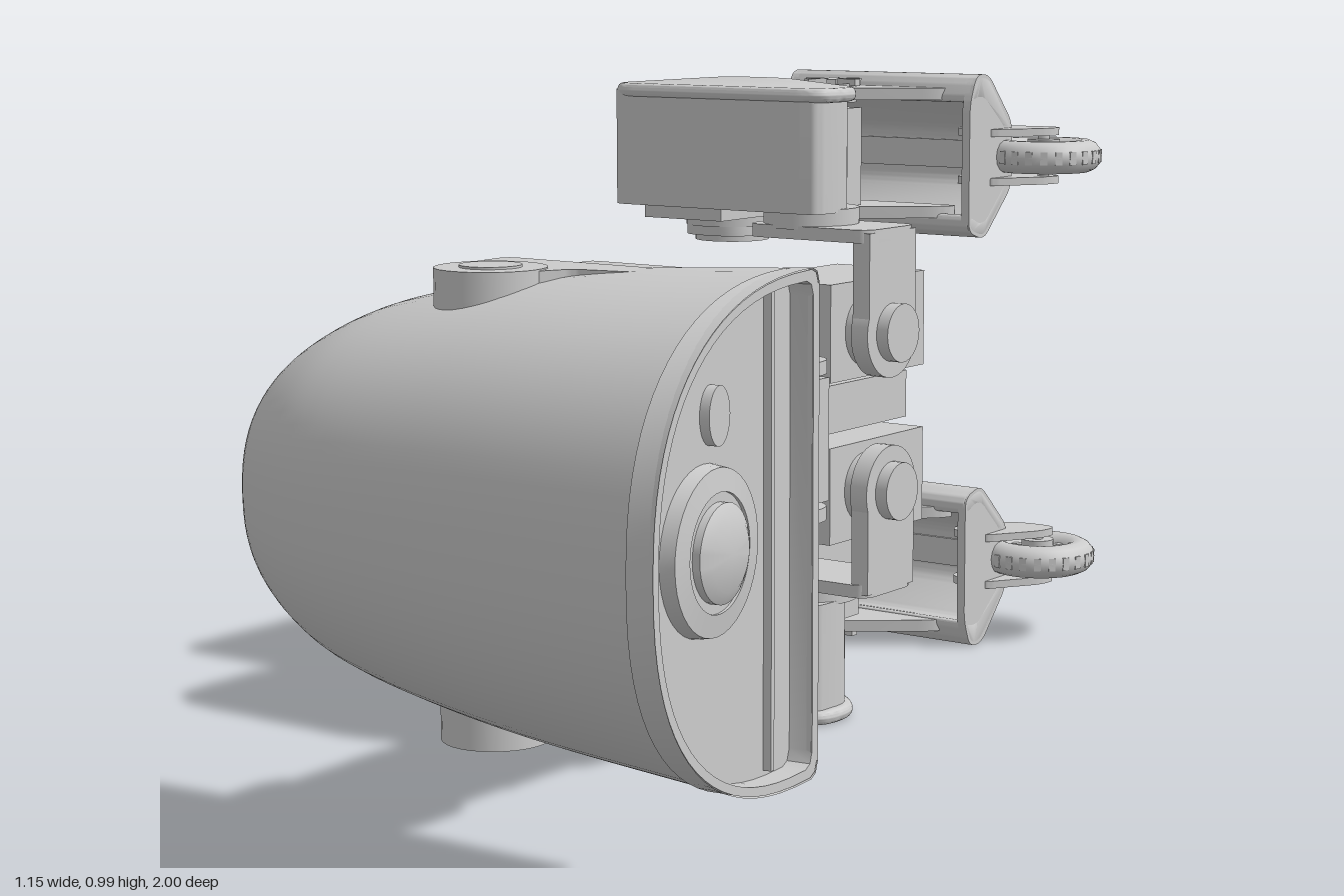
import * as THREE from 'three';
import { RoundedBoxGeometry } from 'three/addons/geometries/RoundedBoxGeometry.js';
import { toCreasedNormals } from 'three/addons/utils/BufferGeometryUtils.js';

const grey = new THREE.MeshStandardMaterial({ color: 0xcccccc, side: THREE.DoubleSide });
const MID = 0.4925; // height of the mirror plane

function add(parent, name, geometry, x = 0, y = 0, z = 0) {
  const m = new THREE.Mesh(geometry, grey);
  m.name = name;
  m.position.set(x, y, z);
  parent.add(m);
  return m;
}

// Box given by its limits, with optional rounded edges
function box(parent, name, x0, x1, y0, y1, z0, z1, r = 0) {
  const w = x1 - x0, h = y1 - y0, d = z1 - z0;
  const g = r ? new RoundedBoxGeometry(w, h, d, 5, r) : new THREE.BoxGeometry(w, h, d);
  return add(parent, name, g, (x0 + x1) / 2, (y0 + y1) / 2, (z0 + z1) / 2);
}

// Upright disc between two heights
function disc(parent, name, r, x, y0, y1, z, sides = 32) {
  return add(parent, name, new THREE.CylinderGeometry(r, r, y1 - y0, sides), x, (y0 + y1) / 2, z);
}

// Disc with its axis along x
function sideDisc(parent, name, r, x0, x1, y, z) {
  const g = new THREE.CylinderGeometry(r, r, x1 - x0, 32).rotateZ(Math.PI / 2);
  return add(parent, name, g, (x0 + x1) / 2, y, z);
}

// Polygon with rounded corners
function roundPoly(points, r) {
  const p = points.map(([a, b]) => new THREE.Vector2(a, b));
  const shape = new THREE.Shape();
  p.forEach((c, i) => {
    const cut = q => c.clone().add(q.clone().sub(c).setLength(Math.min(r, q.distanceTo(c) * 0.45)));
    const a = cut(p[(i + p.length - 1) % p.length]), b = cut(p[(i + 1) % p.length]);
    if (i) shape.lineTo(a.x, a.y); else shape.moveTo(a.x, a.y);
    shape.quadraticCurveTo(c.x, c.y, b.x, b.y);
  });
  shape.closePath();
  return shape;
}

function extrude(shape, depth, bevel = 0) {
  const g = new THREE.ExtrudeGeometry(shape, {
    depth: depth - 2 * bevel, bevelEnabled: bevel > 0, bevelSize: bevel, bevelThickness: bevel,
    bevelOffset: -bevel, bevelSegments: 4, curveSegments: 8 });
  return toCreasedNormals(g.translate(0, 0, bevel), 0.6);
}

// Horizontal plate from [x, z] corners between two heights
function plate(parent, name, points, y0, y1, r = 0.02, bevel = 0) {
  const g = extrude(roundPoly(points.map(([x, z]) => [x, -z]), r), y1 - y0, bevel);
  return add(parent, name, g.rotateX(-Math.PI / 2), 0, y0, 0);
}

const rect = (x0, x1, z0, z1) => [[x0, z0], [x1, z0], [x1, z1], [x0, z1]];

// D-shaped half section: [height offset, depth] from top to bottom
function dArc(h, d, n = 40) {
  const pts = [];
  for (let i = 0; i <= n; i++) {
    const a = Math.PI * i / n, c = Math.cos(a), e = 2 / 2.4;
    pts.push([h * Math.sign(c) * Math.abs(c) ** e, 0.018 + (d - 0.018) * Math.sin(a) ** e]);
  }
  const k = Math.max(h - 0.02, 0);
  return [[k, 0], [h - 0.005, 0.006], ...pts, [-h + 0.005, 0.006], [-k, 0]];
}

function makeHead() {
  const head = new THREE.Group();
  head.name = 'head';
  const Z = 0.59;
  // Stations hold x, half height and depth
  const stations = new THREE.CatmullRomCurve3([
    [-0.283, 0.025, 0.05], [-0.274, 0.098, 0.135], [-0.25, 0.143, 0.205], [-0.2, 0.19, 0.265], [-0.1, 0.239, 0.324],
    [0, 0.265, 0.353], [0.2, 0.296, 0.378], [0.52, 0.318, 0.402]].map(p => new THREE.Vector3(...p)), false, 'centripetal').getPoints(48);
  const pos = [], idx = [];
  const cols = dArc(1, 1).length;
  stations.forEach((s, i) => {
    const lean = Math.max(s.x, 0) / 0.52 * 0.125;
    dArc(s.y, s.z).forEach(([y, z], j) => {
      pos.push(s.x + z * lean, MID + y, Z + z);
      const a = i * cols + j;
      if (i < stations.length - 1 && j < cols - 1) idx.push(a, a + 1, a + cols, a + cols, a + 1, a + cols + 1);
    });
  });
  const shell = new THREE.BufferGeometry();
  shell.setAttribute('position', new THREE.Float32BufferAttribute(pos, 3));
  shell.setIndex(idx);
  shell.computeVertexNormals();
  add(head, 'headShell', shell);
  // Blunt cap closing the round end
  add(head, 'headTip', extrude(new THREE.Shape(dArc(0.025, 0.05).map(([y, z]) => new THREE.Vector2(-z, y))), 0.003)
    .rotateY(Math.PI / 2), -0.283, MID, Z);

  // Flat wall on the neck side with a lined, rounded opening
  const edge = stations.map(s => new THREE.Vector2(s.x, Math.max(s.y - 0.02, 0)));
  const wall = new THREE.Shape([...edge, ...edge.map(p => new THREE.Vector2(p.x, -p.y)).reverse()]);
  const opening = g => roundPoly([[-0.03 - g, -0.16 - g], [0.35 + g, -0.16 - g], [0.35 + g, 0.16 + g], [-0.03 - g, 0.16 + g]], 0.1);
  wall.holes.push(opening(0));
  add(head, 'neckWall', extrude(wall, 0.015), 0, MID, Z);
  const liner = opening(0.008);
  liner.holes.push(opening(0));
  add(head, 'openingLiner', extrude(liner, 0.1), 0, MID, Z + 0.005);

  // Tilted face: rim, recessed panel, eye and sensor
  const face = new THREE.Group();
  face.name = 'face';
  face.position.set(0.52, MID, Z);
  face.rotation.y = -(Math.PI / 2 - 0.1245);
  const D = (h, d, z0) => new THREE.Shape(dArc(h, d).map(([y, z]) => new THREE.Vector2(z + z0, y)));
  const rim = D(0.316, 0.403, 0.001);
  rim.holes.push(D(0.303, 0.377, 0.014));
  add(face, 'faceRim', extrude(rim, 0.035), 0, 0, 0.001);
  add(face, 'facePanel', extrude(D(0.305, 0.38, 0.012), 0.015), 0, 0, 0.033);
  box(face, 'facePanelSeam', 0.075, 0.083, -0.295, 0.295, 0.022, 0.04);
  const eye = [[0, -0.008], [0.045, -0.004], [0.06, 0.004], [0.06, 0.014], [0.072, 0.014], [0.072, 0.01], [0.1, 0.014], [0.104, 0.04]];
  const eyeGeo = new THREE.LatheGeometry(eye.map(p => new THREE.Vector2(...p)), 40).rotateX(Math.PI / 2);
  add(face, 'eye', toCreasedNormals(eyeGeo, 0.5), 0.232, 0.005, 0);
  const sensor = add(face, 'sensor', new THREE.CylinderGeometry(0.036, 0.036, 0.016, 28).rotateX(Math.PI / 2), 0.215, 0.163, 0.028);
  sensor.scale.x = 0.7;
  head.add(face);

  // Pivot covers on both cheeks
  for (const s of [-1, 1]) {
    const y = MID + s * 0.278;
    disc(head, 'headPivotCover', 0.072, 0.11, y - 0.026, y + 0.026, 0.72);
    disc(head, 'headPivotScrew', 0.04, 0.11, y - 0.029, y + 0.029, 0.72);
    plate(head, 'cheekCover', [[0.035, 0.6], [0.3, 0.6], [0.3, 0.65], [0.2, 0.67], [0.18, 0.72], [0.04, 0.72]], y - 0.024, y + 0.024, 0.02);
  }
  return head;
}

function makeNeck() {
  const neck = new THREE.Group();
  neck.name = 'neck';
  box(neck, 'lowerServo', 0.04, 0.18, 0.405, 0.585, 0.06, 0.295);
  box(neck, 'servoFlange', 0.045, 0.175, 0.395, 0.59, 0.295, 0.31);
  box(neck, 'upperServo', 0.04, 0.18, 0.41, 0.58, 0.31, 0.54);
  box(neck, 'headServo', 0.04, 0.18, 0.4, 0.585, 0.61, 0.79);
  box(neck, 'headBracket', 0.045, 0.175, 0.385, 0.6, 0.56, 0.585);
  for (const s of [-1, 1]) {
    const y = MID + s * 0.107;
    plate(neck, 'neckYoke', rect(0.045, 0.175, 0.41, 0.58), y - 0.015, y + 0.015, 0.06);
    plate(neck, 'baseYoke', rect(0.03, 0.18, 0.03, 0.185), y - 0.01, y + 0.01, 0.06);
    plate(neck, 'headYoke', rect(0.045, 0.175, 0.56, 0.8), y - 0.01, y + 0.01, 0.06);
    for (const z of [0.11, 0.47, 0.72]) disc(neck, 'neckHorn', 0.025, 0.11, y - 0.018, y + 0.018, z, 24);
  }
  return neck;
}

function makeBody() {
  const body = new THREE.Group();
  body.name = 'body';
  plate(body, 'torso', [[-0.39, -0.1], [0.075, -0.1], [0.082, 0.12], [0.05, 0.185], [-0.34, 0.185], [-0.39, 0.13]], 0.275, 0.713, 0.07, 0.05);
  box(body, 'backCover', -0.398, -0.3, 0.345, 0.64, -0.38, 0.1, 0.03);
  box(body, 'spine', -0.32, 0.02, 0.455, 0.53, -0.4, -0.08);
  box(body, 'pelvisMount', -0.1, 0.03, 0.3, 0.69, -0.14, -0.08);
  for (const s of [-1, 1]) {
    box(body, 'hipServo', -0.11, 0.055, MID + s * 0.125 - 0.075, MID + s * 0.125 + 0.075, -0.395, -0.13);
    box(body, 'backSeam', -0.4, -0.35, MID + s * 0.06 - 0.004, MID + s * 0.06 + 0.004, -0.34, 0.06);
    disc(body, 'torsoScrew', 0.018, -0.335, MID + s * 0.2 - 0.018, MID + s * 0.2 + 0.018, 0.135, 20);
  }
  return body;
}

// Wheel with treaded tyre and spoked hub, axis upright
function makeWheel(x, z) {
  const wheel = new THREE.Group();
  wheel.name = 'wheel';
  wheel.position.set(x, 0.843, z);
  add(wheel, 'tyre', new THREE.TorusGeometry(0.072, 0.028, 14, 40).rotateX(Math.PI / 2));
  disc(wheel, 'hub', 0.028, 0, -0.028, 0.028, 0, 24);
  disc(wheel, 'axle', 0.01, 0, -0.04, 0.04, 0, 12);
  for (let i = 0; i < 6; i++) add(wheel, 'spoke', new THREE.BoxGeometry(0.04, 0.03, 0.014).translate(0.04, 0, 0)).rotation.y = i * Math.PI / 3;
  for (let i = 0; i < 24; i++) add(wheel, 'tread', new THREE.BoxGeometry(0.008, 0.022, 0.012).translate(0.0955, 0, 0)).rotation.y = i * Math.PI / 12;
  return wheel;
}

function makeLeg() {
  const leg = new THREE.Group();
  leg.name = 'leg';
  // Hip bracket on the servo horn
  sideDisc(leg, 'hipHorn', 0.055, 0.055, 0.085, 0.615, -0.225);
  sideDisc(leg, 'hipCap', 0.045, 0.085, 0.125, 0.615, -0.225);
  sideDisc(leg, 'hipBracketEnd', 0.07, 0.075, 0.105, 0.615, -0.225);
  box(leg, 'hipBracketSide', 0.075, 0.105, 0.615, 0.77, -0.29, -0.16);
  plate(leg, 'hipBracketTop', rect(-0.12, 0.105, -0.295, -0.155), 0.755, 0.775, 0.03);
  disc(leg, 'hipDisc', 0.074, -0.045, 0.77, 0.8, -0.225);
  // Thigh body under a thin overhanging lid
  plate(leg, 'thigh', [[-0.372, -0.14], [0.02, -0.14], [0.025, -0.23], [-0.25, -0.445], [-0.372, -0.445]], 0.795, 0.975, 0.03);
  plate(leg, 'thighLid', [[-0.375, -0.135], [0.035, -0.135], [0.042, -0.235], [-0.25, -0.46], [-0.375, -0.46]], 0.963, 0.985, 0.05, 0.01);
  box(leg, 'thighServo', -0.35, -0.2, 0.77, 0.83, -0.42, -0.2);
  // Knee and shin
  for (const [r, a, b] of [[0.06, 0.725, 0.75], [0.075, 0.75, 0.77], [0.065, 0.77, 0.8]]) disc(leg, 'kneeDisc', r, -0.3, a, b, -0.37);
  plate(leg, 'shinLink', rect(-0.365, -0.235, -0.62, -0.3), 0.735, 0.758, 0.06);
  box(leg, 'shinServo', -0.37, -0.225, 0.765, 0.93, -0.64, -0.495);
  disc(leg, 'shinHorn', 0.05, -0.295, 0.75, 0.78, -0.56);
  // Ankle yoke
  for (const y of [0.742, 0.942]) {
    plate(leg, 'ankleYoke', [[-0.39, -0.76], [-0.1, -0.76], [-0.12, -0.72], [-0.27, -0.61], [-0.33, -0.61], [-0.38, -0.72]], y, y + 0.02, 0.03);
    disc(leg, 'ankleHorn', 0.04, -0.3, y - 0.006, y + 0.026, -0.665, 24);
  }
  for (const a of [0, 1, 2]) add(leg, 'hornArm', new THREE.BoxGeometry(0.1, 0.012, 0.016), -0.3, 0.97, -0.665).rotation.y = a * Math.PI / 3;
  // Hollow foot pad, extruded across its width from [-z, y] corners
  const outline = [[0.72, 0.72], [0.77, 0.705], [0.86, 0.79], [0.86, 0.9], [0.78, 0.985], [0.74, 0.985], [0.72, 0.935]];
  const foot = roundPoly([...outline, [0.76, 0.945], [0.835, 0.885], [0.835, 0.8], [0.765, 0.735], [0.72, 0.755]], 0.02);
  add(leg, 'foot', extrude(foot, 0.375, 0.006).rotateY(Math.PI / 2), -0.435, 0, 0);
  for (const x of [-0.435, -0.075]) add(leg, 'footEnd', extrude(roundPoly(outline, 0.02), 0.015).rotateY(Math.PI / 2), x, 0, 0);
  // Wheel forks, carrier and wheels
  plate(leg, 'wheelCarrier', [[-0.43, -0.83], [-0.36, -0.885], [-0.135, -0.885], [-0.06, -0.83]], 0.82, 0.868, 0.04);
  for (const x of [-0.475, -0.02]) {
    const inner = x < -0.2 ? 0.12 : -0.12;
    for (const y of [0.795, 0.878]) {
      plate(leg, 'wheelFork', [[x - inner * 0.2, -0.925], [x + inner * 0.35, -0.925], [x + inner, -0.885], [x + inner, -0.8],
        [x + inner * 0.35, -0.78], [x - inner * 0.2, -0.88]], y, y + 0.013, 0.025);
    }
    leg.add(makeWheel(x, -0.9));
  }
  return leg;
}

export function createModel() {
  const model = new THREE.Group();
  model.name = 'robot';
  const upper = makeLeg(), lower = makeLeg();
  lower.scale.y = -1; // mirrored leg
  lower.position.y = 2 * MID;
  model.add(makeHead(), makeNeck(), makeBody(), upper, lower);
  return model;
}
